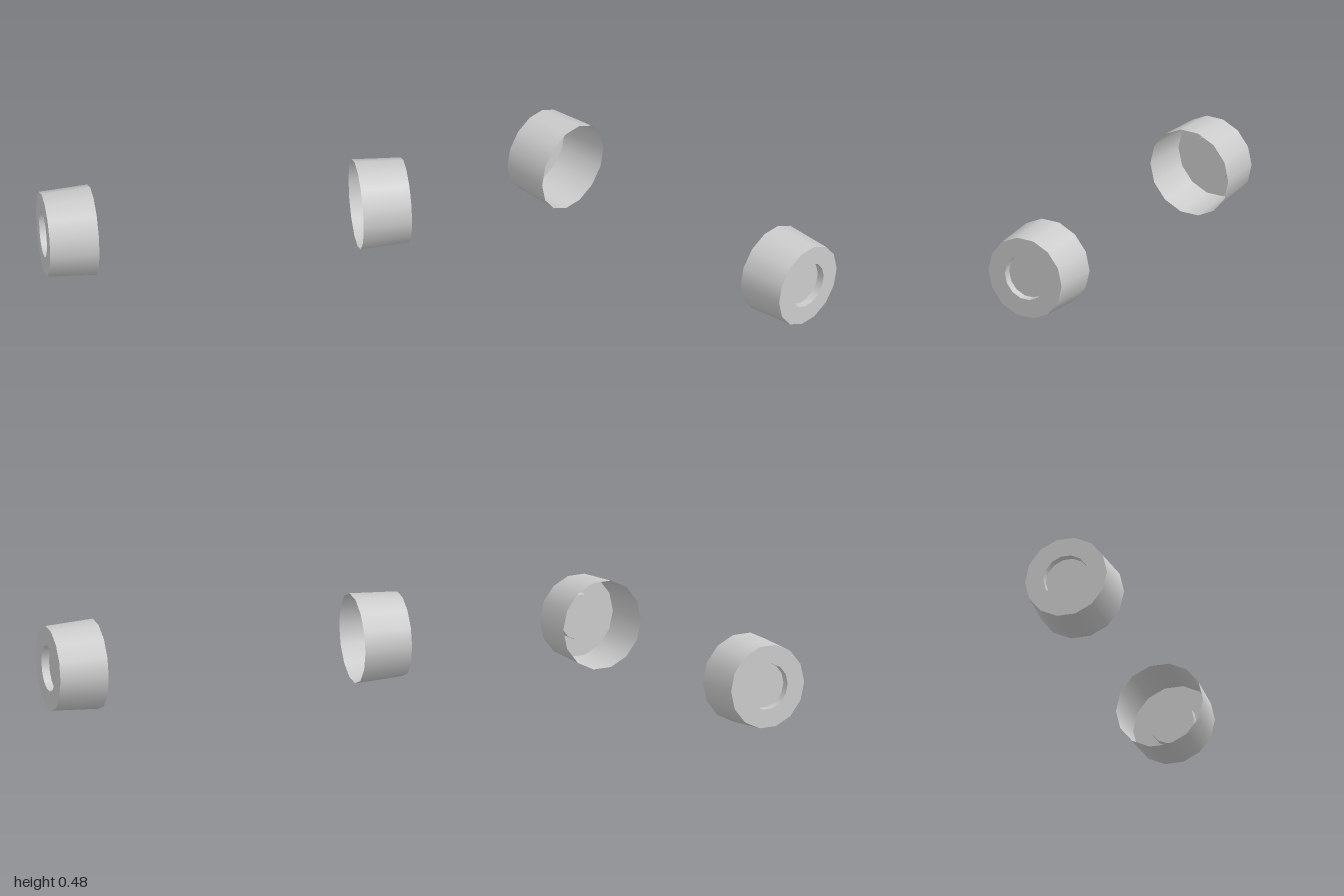
import * as THREE from 'three';

const SIDES = 14;
const R_INNER = 0.248;  // open end facing the middle
const R_OUTER = 0.233;  // outward face
const R_HUB = 0.128;    // recess in the face
const X_IN = 0.73, X_OUT = 1, X_HUB = 0.957;

const material = new THREE.MeshStandardMaterial({ color: 0xcccccc, side: THREE.DoubleSide });

// Open tube along x, from x0 (radius r0) to x1 (radius r1)
function tube(name, r0, r1, x0, x1) {
  const geo = new THREE.CylinderGeometry(r1, r0, x1 - x0, SIDES, 1, true);
  geo.rotateZ(-Math.PI / 2).translate((x0 + x1) / 2, 0, 0);
  const mesh = new THREE.Mesh(geo, material);
  mesh.name = name;
  return mesh;
}

// Flat disc or ring facing +x
function plate(name, geo, x) {
  geo.rotateY(Math.PI / 2).translate(x, 0, 0);
  const mesh = new THREE.Mesh(geo, material);
  mesh.name = name;
  return mesh;
}

// Hollow tapered wheel, open toward the middle, with a recessed hub
function wheel(name) {
  const group = new THREE.Group();
  group.name = name;
  group.add(
    tube('tread', R_INNER, R_OUTER, X_IN, X_OUT),
    plate('outerFace', new THREE.RingGeometry(R_HUB, R_OUTER, SIDES), X_OUT),
    tube('hubWall', R_HUB - 0.001, R_HUB, X_HUB, X_OUT),
    plate('hubFloor', new THREE.CircleGeometry(R_HUB - 0.001, SIDES), X_HUB)
  );
  group.position.y = R_INNER * Math.cos(Math.PI / SIDES);
  return group;
}

export function createModel() {
  const model = new THREE.Group();
  model.name = 'wheelPair';
  const left = wheel('leftWheel');
  const right = wheel('rightWheel');
  right.rotation.y = Math.PI;
  model.add(left, right);
  return model;
}
